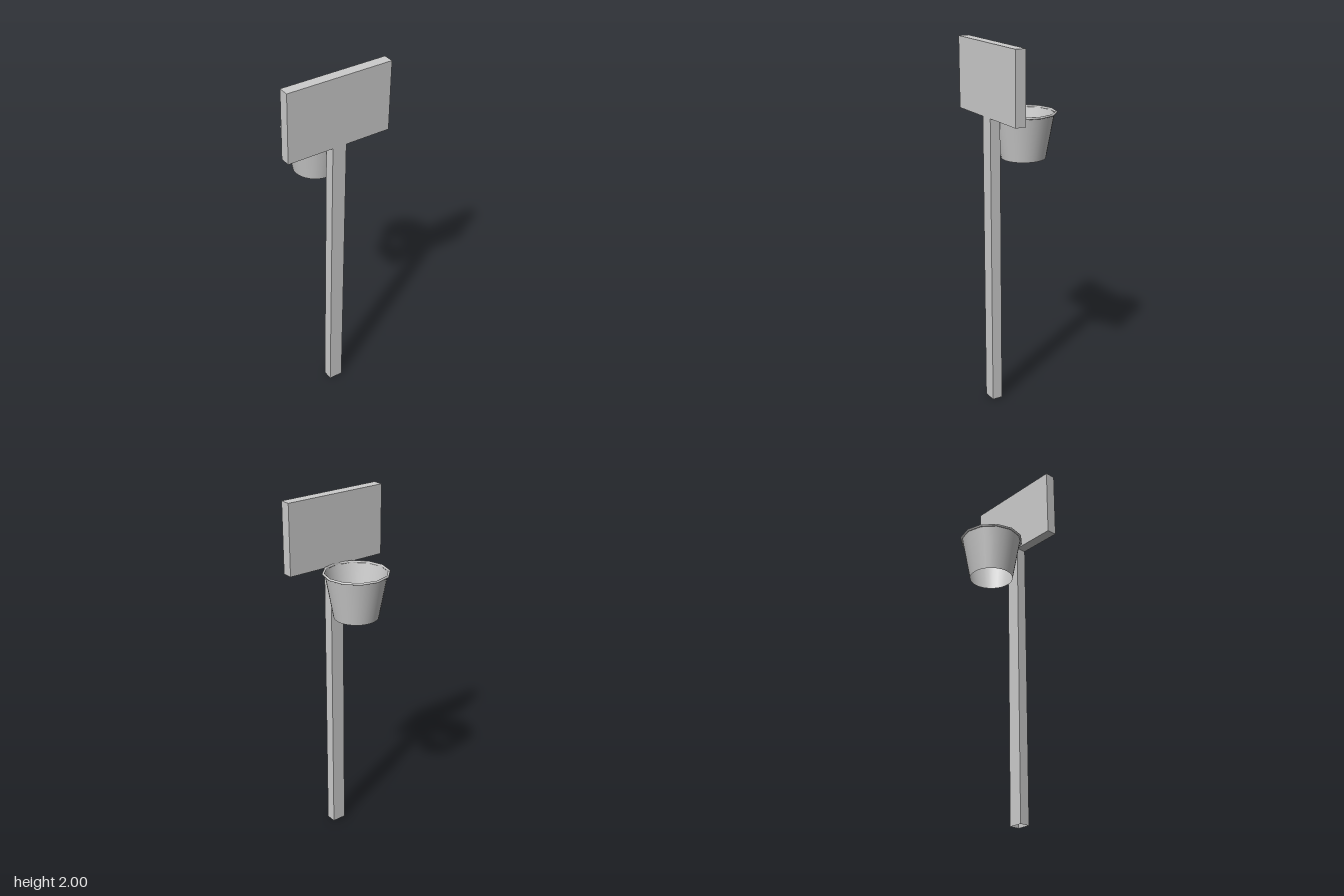
import * as THREE from 'three';

const material = new THREE.MeshStandardMaterial({ color: 0xcccccc, side: THREE.DoubleSide });

const BOARD_BOTTOM = 1.615;
const BOARD_Z = 0.171;
const DEPTH = 0.058;
const HOOP_Z = -0.022;

export function createModel() {
  const group = new THREE.Group();

  const add = (name, geometry, x, y, z) => {
    const mesh = new THREE.Mesh(geometry, material);
    mesh.name = name;
    mesh.position.set(x, y, z);
    group.add(mesh);
  };

  // Backboard
  const boardHeight = 2 - BOARD_BOTTOM;
  add('backboard', new THREE.BoxGeometry(0.596, boardHeight, DEPTH), 0, BOARD_BOTTOM + boardHeight / 2, BOARD_Z);

  // Hollow square post: a box without its top and bottom faces
  const post = new THREE.BoxGeometry(0.08, BOARD_BOTTOM, DEPTH);
  const index = Array.from(post.index.array);
  post.setIndex([...index.slice(0, 12), ...index.slice(24)]);
  post.clearGroups();
  add('post', post, 0, BOARD_BOTTOM / 2, BOARD_Z);

  // Twelve-sided rim
  const rim = new THREE.TorusGeometry(0.172, 0.0065, 8, 12);
  rim.rotateX(Math.PI / 2);
  add('rim', rim, 0, 1.62, HOOP_Z);

  // Tapered net, open at both ends
  add('net', new THREE.CylinderGeometry(0.165, 0.12, 0.245, 32, 1, true), 0, 1.4975, HOOP_Z);

  return group;
}
